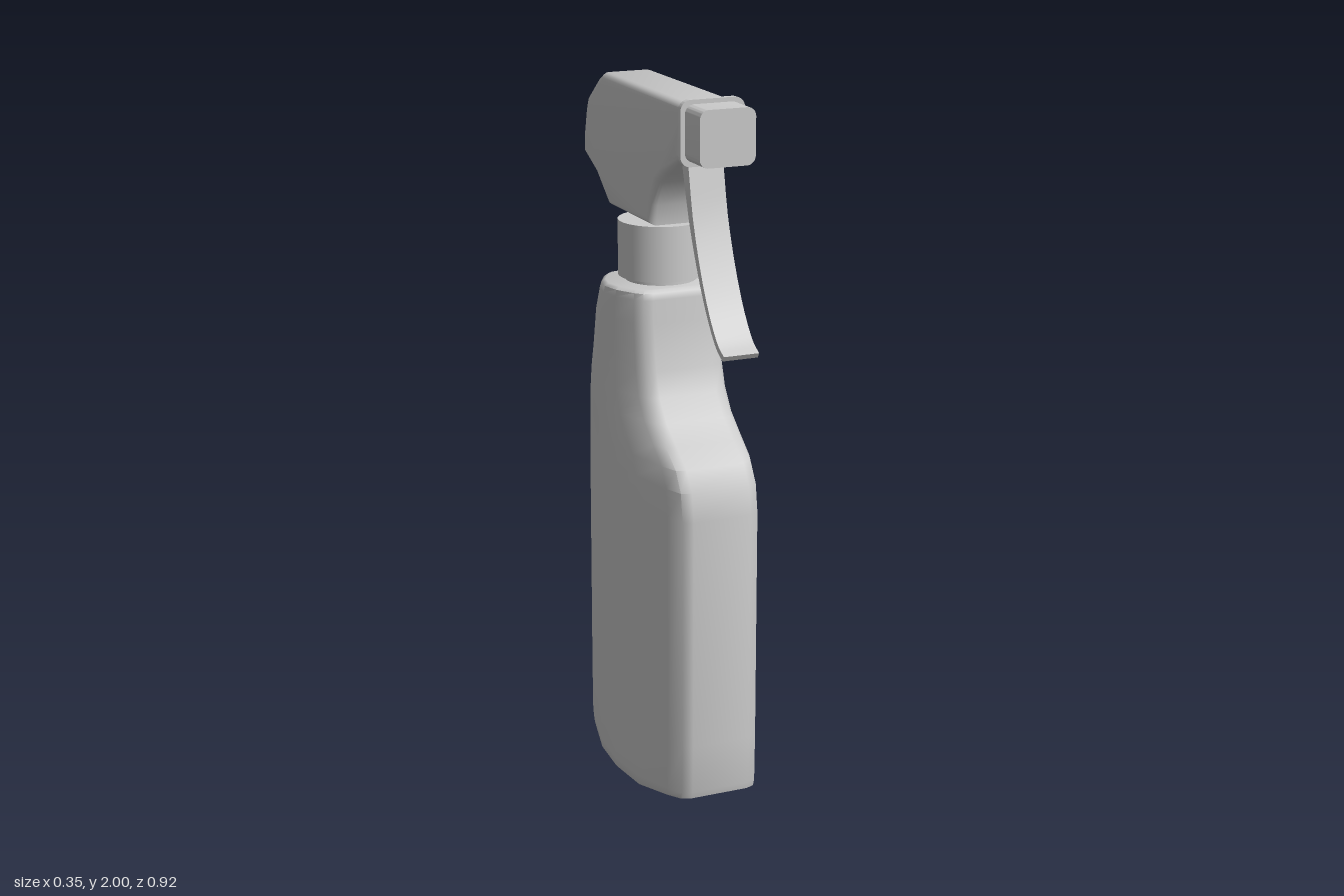
import * as THREE from 'three';
import { toCreasedNormals } from 'three/addons/utils/BufferGeometryUtils.js';

const material = new THREE.MeshStandardMaterial({ color: 0xcccccc });
const doubleSided = new THREE.MeshStandardMaterial({ color: 0xcccccc, side: THREE.DoubleSide });
const NECK_Z = -0.075;

function part(name, geometry, mat = material) {
  const mesh = new THREE.Mesh(geometry, mat);
  mesh.name = name;
  return mesh;
}

// Bottle: one lens-shaped section, stretched front to back at each height
function bottleGeometry() {
  // [position along depth -1..1, half width], front to back on the +x side
  const front = [[1, 0.085], [0.96, 0.112], [0.8, 0.132], [0.4, 0.164]];
  const half = [...front, [0, 0.176], ...front.map(([t, w]) => [-t, w]).reverse()];
  const n = half.length;
  const section = [...half, ...half.map(([t, w]) => [t, -w]).reverse()];

  // [height, front z, back z, width factor, lift of the two ends]
  const rings = [
    [0.004, 0.325, -0.335, 0.95, 0.028], [0.012, 0.342, -0.348, 0.99, 0.028],
    [0.04, 0.347, -0.354, 1, 0.02], [0.2, 0.35, -0.356, 1, 0], [0.86, 0.35, -0.356, 1, 0],
    [0.94, 0.337, -0.354, 1, 0], [0.995, 0.302, -0.35, 1, 0], [1.04, 0.235, -0.343, 1, 0],
    [1.09, 0.165, -0.333, 1, 0], [1.15, 0.117, -0.318, 1, 0], [1.22, 0.092, -0.299, 0.99, 0],
    [1.35, 0.07, -0.262, 0.98, 0], [1.415, 0.066, -0.225, 0.97, 0],
    [1.434, 0.063, -0.212, 0.96, 0], [1.442, 0.052, -0.198, 0.9, 0],
  ];

  const positions = [], index = [], m = section.length;
  for (const [y, zf, zb, s, lift] of rings) {
    for (const [t, w] of section) {
      const rise = lift * Math.max(0, (Math.abs(t) - 0.4) / 0.6);
      positions.push(w * s, y + rise, (zf + zb) / 2 + t * (zf - zb) / 2);
    }
  }
  const quad = (a, b, c, d) => index.push(a, b, c, a, c, d);
  for (let r = 0; r < rings.length - 1; r++) {
    for (let i = 0; i < m; i++) {
      const j = (i + 1) % m;
      quad(r * m + i, r * m + j, (r + 1) * m + j, (r + 1) * m + i);
    }
  }
  // Bottom and top, closed with strips from side to side
  const top = (rings.length - 1) * m;
  for (let k = 0; k < n - 1; k++) {
    const l = m - 1 - k;
    quad(top + k, top + k + 1, top + l - 1, top + l);
    quad(l, l - 1, k + 1, k);
  }
  const g = new THREE.BufferGeometry();
  g.setAttribute('position', new THREE.Float32BufferAttribute(positions, 3));
  g.setIndex(index);
  return toCreasedNormals(g, 0.85);
}

// Side outline in (z, y), extruded across x with optional rounded edges
function sideExtrude(points, halfWidth, bevel = 0) {
  const shape = new THREE.Shape(points.map(([z, y]) => new THREE.Vector2(z, y)));
  const g = new THREE.ExtrudeGeometry(shape, {
    depth: 2 * (halfWidth - bevel), bevelEnabled: bevel > 0, bevelThickness: bevel,
    bevelSize: bevel, bevelOffset: -bevel, bevelSegments: 4,
  });
  g.translate(0, 0, bevel - halfWidth);
  g.rotateY(-Math.PI / 2);
  return toCreasedNormals(g, 0.6);
}

// Rounded rectangle facing front, from z0 to z1
function roundedBlock(hw, y0, y1, r, z0, z1) {
  const s = new THREE.Shape();
  s.absarc(hw - r, y1 - r, r, 0, Math.PI / 2);
  s.absarc(r - hw, y1 - r, r, Math.PI / 2, Math.PI);
  s.absarc(r - hw, y0 + r, r, Math.PI, Math.PI * 1.5);
  s.absarc(hw - r, y0 + r, r, Math.PI * 1.5, Math.PI * 2);
  const g = new THREE.ExtrudeGeometry(s, { depth: z1 - z0, bevelEnabled: false, curveSegments: 6 });
  g.translate(0, 0, z0);
  return toCreasedNormals(g, 0.6);
}

function cylinder(r, y0, y1) {
  const g = new THREE.CylinderGeometry(r, r, y1 - y0, 40);
  g.translate(0, (y0 + y1) / 2, NECK_Z);
  return g;
}

export function createModel() {
  const model = new THREE.Group();
  model.name = 'sprayBottle';

  model.add(part('bottle', bottleGeometry()));
  model.add(part('neck', cylinder(0.1, 1.42, 1.47)));
  model.add(part('collar', cylinder(0.12, 1.455, 1.612)));

  // Spray head
  const head = [
    [0.275, 1.988], [-0.31, 1.988], [-0.345, 1.968], [-0.425, 1.905], [-0.44, 1.87],
    [-0.46, 1.785], [-0.46, 1.737], [-0.36, 1.69], [-0.27, 1.617], [0.033, 1.617],
    [0.04, 1.675], [0.08, 1.745], [0.125, 1.775], [0.19, 1.81], [0.24, 1.832], [0.275, 1.835],
  ];
  model.add(part('head', sideExtrude(head, 0.08, 0.022)));
  model.add(part('nozzleFlange', roundedBlock(0.093, 1.822, 2, 0.03, 0.257, 0.274)));
  model.add(part('nozzle', roundedBlock(0.08, 1.835, 1.988, 0.025, 0.25, 0.37)));

  // Trigger: curved, tapering lever
  const curve = (pts) => new THREE.CatmullRomCurve3(
    pts.map(([z, y]) => new THREE.Vector3(z, y, 0))).getPoints(14).map((p) => [p.x, p.y]);
  const outer = curve([[0.228, 1.83], [0.268, 1.66], [0.35, 1.475], [0.425, 1.375], [0.464, 1.352]]);
  const inner = curve([[0.185, 1.83], [0.247, 1.64], [0.338, 1.46], [0.414, 1.363], [0.455, 1.338]]);
  model.add(part('trigger', sideExtrude([...outer, ...inner.reverse()], 0.051), doubleSided));

  return model;
}
